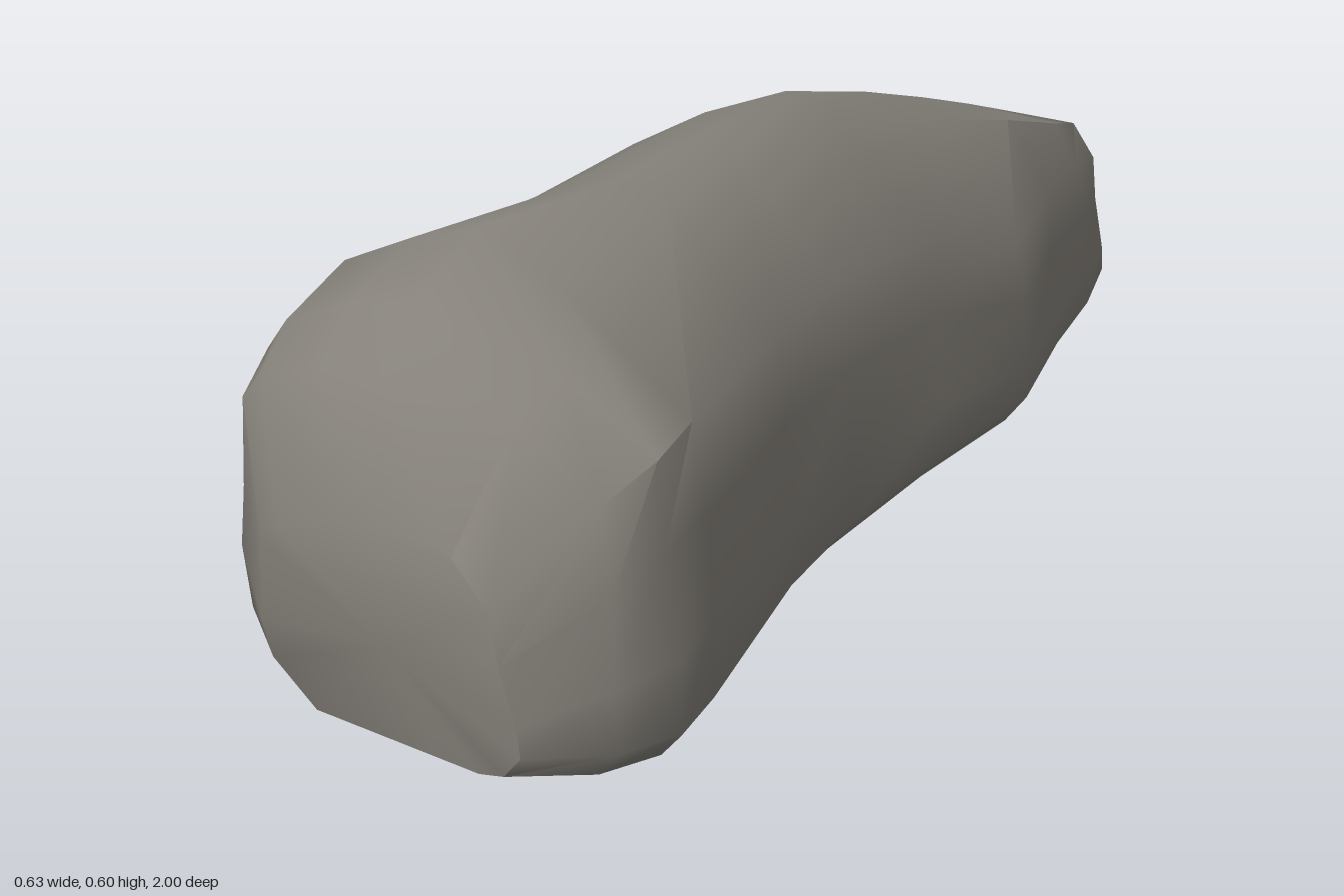
import * as THREE from 'three';
import { toCreasedNormals } from 'three/addons/utils/BufferGeometryUtils.js';

// Stations from front to back: z, slant of z with x, lean of z with y,
// left x, right x, base y, left shoulder y, ridge x, ridge y, right shoulder x, right shoulder y, right flank y
const stations = [
  [0.965, 0.18, 0.1, -0.23, 0.19, 0.015, 0.27, 0.0, 0.32, 0.11, 0.31, 0.25],
  [0.88, 0.1, 0, -0.305, 0.28, 0.005, 0.43, -0.06, 0.465, 0.14, 0.445, 0.36],
  [0.80, 0.07, 0, -0.315, 0.32, 0.0, 0.475, -0.06, 0.535, 0.16, 0.48, 0.40],
  [0.68, 0.12, 0, -0.315, 0.31, 0.0, 0.515, -0.04, 0.60, 0.09, 0.54, 0.41],
  [0.40, 0, 0, -0.305, 0.275, 0.0, 0.49, 0.0, 0.592, 0.08, 0.585, 0.41],
  [0.20, 0, 0, -0.305, 0.265, 0.0, 0.48, 0.01, 0.595, 0.08, 0.588, 0.42],
  [-0.10, 0, 0, -0.31, 0.28, 0.0, 0.48, 0.01, 0.595, 0.08, 0.585, 0.40],
  [-0.37, 0, 0, -0.305, 0.31, 0.0, 0.45, 0.02, 0.53, 0.15, 0.50, 0.32],
  [-0.60, 0, 0, -0.31, 0.275, 0.01, 0.42, 0.02, 0.465, 0.17, 0.445, 0.33],
  [-0.80, 0, 0, -0.31, 0.25, 0.035, 0.375, 0.02, 0.405, 0.18, 0.39, 0.32],
  [-0.94, -0.05, 0.2, -0.29, 0.235, 0.06, 0.335, 0.04, 0.37, 0.17, 0.36, 0.30],
  [-0.978, -0.07, 0.2, -0.24, 0.19, 0.105, 0.26, 0.05, 0.30, 0.13, 0.29, 0.24],
];

// One outline, anticlockwise as seen from the front
function ring([z, slant, lean, xl, xr, yb, yl, xp, yt, xs, ys, yr], i) {
  const left = (t) => yb + t * (yl - yb);
  const right = (t) => yb + t * (yr - yb);
  const dent = i % 2 ? 0 : 0.012;
  const middle = Math.abs(z) < 0.65;
  const undercut = middle ? 0.02 : 0;
  const inset = middle ? 0.012 : 0;
  return [
    [xl + 0.08, yb],
    [0.06, yb],
    [xr - 0.07, yb],
    [xr - 0.03 - undercut / 2, yb + 0.01 + undercut / 2],
    [xr - undercut / 4, yb + 0.045 + undercut],
    [xr - 0.003, right(0.36)],
    [xr - 0.01 - dent, right(0.7)],
    [xr - 0.03, yr],
    [xs, ys],
    [xp, yt],
    [(xl + 0.05 + xp) / 2, (yl + yt) / 2 + 0.008],
    [xl + 0.05 + inset, yl],
    [xl + 0.018 + inset, left(0.91)],
    [xl + 0.01 + inset / 2, left(0.62)],
    [xl, left(0.42)],
    [xl + 0.012, left(0.22)],
  ].map(([x, y]) => {
    // Broken corners at the right of the front and back ends
    const frontLimit = 1.03 - 0.9 * (x - 0.14) - 0.3 * (y - 0.2);
    const backLimit = -1 + 0.5 * (x - 0.06);
    const slanted = z + slant * x + lean * (y - 0.2);
    return [x, y, Math.max(backLimit, Math.min(frontLimit, slanted))];
  });
}

function boulderGeometry() {
  const rings = stations.map(ring);
  const n = rings[0].length;
  const last = rings.length - 1;
  const points = rings.flat();
  const index = [];
  // Long sides
  for (let i = 0; i < last; i++) {
    for (let j = 0; j < n; j++) {
      const k = (j + 1) % n;
      const a = i * n + j, b = i * n + k, c = a + n, d = b + n;
      index.push(a, c, d, a, d, b);
    }
  }
  // Worn end faces, slightly domed
  const addCap = (r, side) => {
    const centre = points.length;
    const mean = [0, 1, 2].map((c) => rings[r].reduce((s, p) => s + p[c], 0) / n);
    mean[2] += side * 0.008;
    points.push(mean);
    for (let j = 0; j < n; j++) {
      const a = r * n + j, b = r * n + (j + 1) % n;
      index.push(centre, side > 0 ? a : b, side > 0 ? b : a);
    }
  };
  addCap(0, 1);
  addCap(last, -1);

  const geometry = new THREE.BufferGeometry();
  geometry.setAttribute('position', new THREE.Float32BufferAttribute(points.flat(), 3));
  geometry.setIndex(index);
  return toCreasedNormals(geometry, 0.85);
}

export function createModel() {
  const stone = new THREE.MeshStandardMaterial({ color: 0x85817a });
  stone.name = 'greyStone';
  const boulder = new THREE.Mesh(boulderGeometry(), stone);
  boulder.name = 'boulder';
  const group = new THREE.Group();
  group.name = 'longRock';
  group.add(boulder);
  return group;
}
